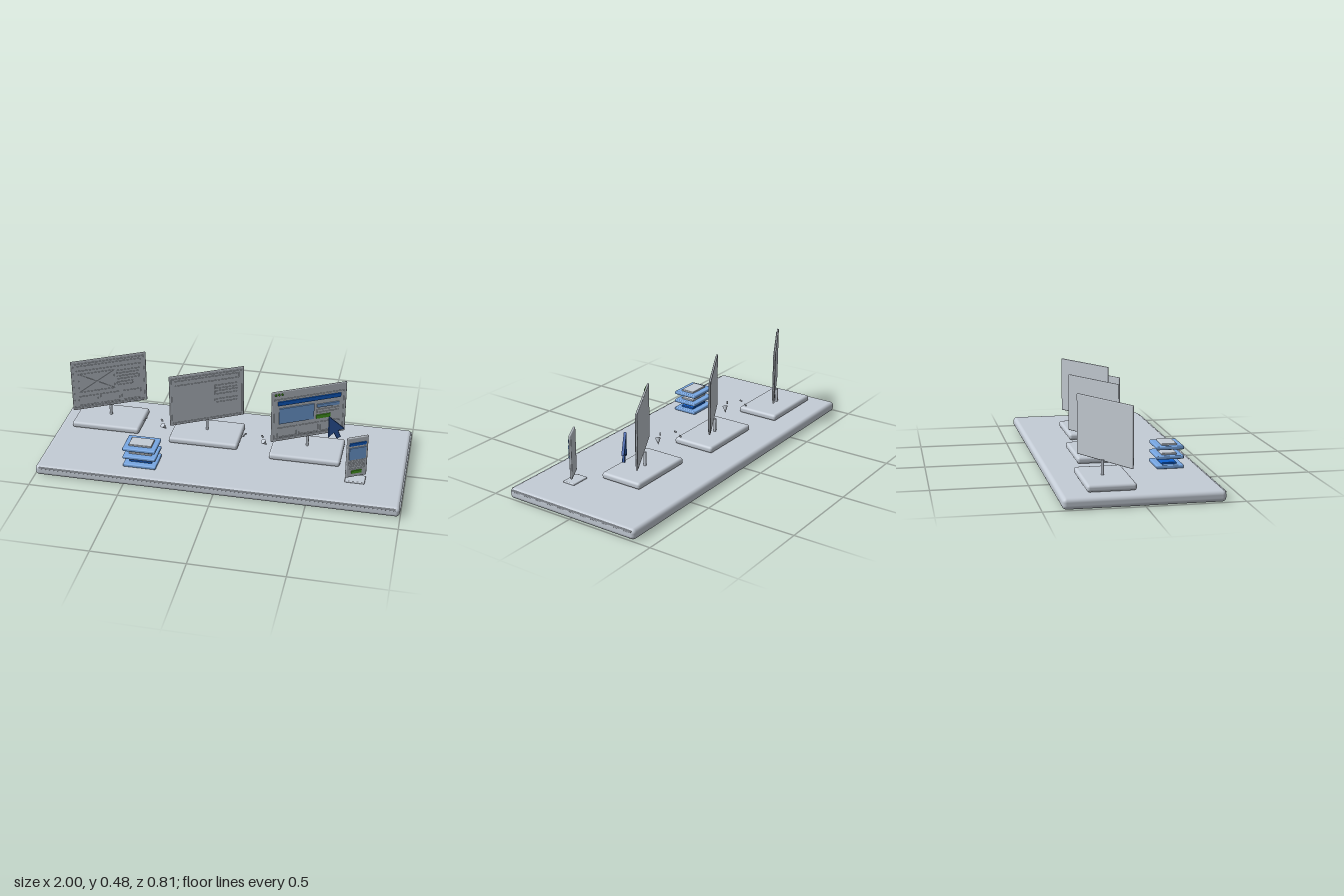
import * as THREE from 'three';
import { RoundedBoxGeometry } from 'three/addons/geometries/RoundedBoxGeometry.js';

const mat = (name, color) => {
  const m = new THREE.MeshStandardMaterial({ color });
  m.name = name;
  return m;
};
const M = {
  grey: mat('paleGrey', 0xc4ccd6),
  panel: mat('panelGrey', 0xc0c7cf),
  blue: mat('strongBlue', 0x0d60d0),
  light: mat('softBlue', 0x78a8e4),
  navy: mat('pointerBlue', 0x2f5ba8),
  green: mat('green', 0x4aa322),
};
const TURN = 0.5; // yaw of every screen

function add(parent, name, geometry, material, x = 0, y = 0, z = 0) {
  const mesh = new THREE.Mesh(geometry, material);
  mesh.name = name;
  mesh.position.set(x, y, z);
  parent.add(mesh);
  return mesh;
}
function group(parent, name, x = 0, y = 0, z = 0) {
  const g = new THREE.Group();
  g.name = name;
  g.position.set(x, y, z);
  parent.add(g);
  return g;
}
const rounded = (w, h, d, r) => new RoundedBoxGeometry(w, h, d, 3, r);

// Solid plate on a screen, from its left/right and bottom/top limits
function plate(parent, name, x0, x1, y0, y1, material) {
  add(parent, name, new THREE.BoxGeometry(x1 - x0, y1 - y0, 0.007), material,
    (x0 + x1) / 2, (y0 + y1) / 2, 0.0085);
}
// Thin rod on a screen between two points
function rod(parent, name, ax, ay, bx, by) {
  const bar = add(parent, name,
    new THREE.BoxGeometry(Math.hypot(bx - ax, by - ay) + 0.003, 0.003, 0.004), M.grey,
    (ax + bx) / 2, (ay + by) / 2, 0.007);
  bar.rotation.z = Math.atan2(by - ay, bx - ax);
}
// Rectangle drawn with four rods
function outline(parent, name, x0, x1, y0, y1) {
  const g = group(parent, name);
  rod(g, 'bottomEdge', x0, y0, x1, y0);
  rod(g, 'topEdge', x0, y1, x1, y1);
  rod(g, 'leftEdge', x0, y0, x0, y1);
  rod(g, 'rightEdge', x1, y0, x1, y1);
}

// Foot, stem and turned screen; returns the screen for its layout
function monitor(root, name, x, z) {
  const g = group(root, name, x, 0, z);
  add(g, 'foot', rounded(0.395, 0.037, 0.247, 0.015), M.grey, 0, 0.0775, 0);
  add(g, 'stem', new THREE.CylinderGeometry(0.008, 0.008, 0.08, 16), M.grey, -0.003, 0.133, -0.011);
  const screen = group(g, 'screen', 0, 0, 0);
  screen.rotation.y = TURN;
  add(screen, 'screenPanel', rounded(0.433, 0.312, 0.011, 0.005), M.panel, 0, 0.32, 0);
  return screen;
}

// Three cards along the bottom of a page
function cards(screen) {
  for (const c of [-0.125, 0, 0.125]) outline(screen, 'card', c - 0.055, c + 0.055, 0.191, 0.248);
}

// Arrow pointer as an extruded outline
function pointer(parent) {
  const pts = [[0, 0], [0, -0.128], [0.03, -0.103], [0.05, -0.145], [0.07, -0.135], [0.052, -0.093], [0.09, -0.088]];
  const shape = new THREE.Shape(pts.map(([a, b]) => new THREE.Vector2(a, b)));
  const geo = new THREE.ExtrudeGeometry(shape,
    { depth: 0.01, bevelEnabled: true, bevelSize: 0.002, bevelThickness: 0.002, bevelSegments: 1 });
  add(parent, 'pointer', geo, M.navy, 0.09, 0.317, 0.073);
}

// Short dashes ending in a cone, between neighbouring screens
function flowArrow(root, x, z) {
  const g = group(root, 'flowArrow', x, 0, z);
  const up = new THREE.Vector3(0, 1, 0);
  const dashes = [[0, 0.127, 0, 0.5, 0.7, 0.4], [0.016, 0.154, 0.022, 0.5, 0.6, 0.5], [0.116, 0.17, 0.052, 0.4, -0.7, -0.2]];
  for (const [a, b, c, dx, dy, dz] of dashes) {
    const dash = add(g, 'dash', new THREE.CylinderGeometry(0.005, 0.005, 0.015, 10), M.grey, a, b, c);
    dash.quaternion.setFromUnitVectors(up, new THREE.Vector3(dx, dy, dz).normalize());
  }
  const head = add(g, 'arrowHead', new THREE.ConeGeometry(0.015, 0.04, 16), M.grey, 0.131, 0.13, 0.056);
  head.quaternion.setFromUnitVectors(up, new THREE.Vector3(0.45, -0.8, -0.4).normalize());
}

export function createModel() {
  const root = new THREE.Group();
  root.name = 'screenDisplay';

  // Platform with trim on the front and left side
  add(root, 'platform', rounded(1.995, 0.058, 0.806, 0.022), M.grey, 0, 0.029, 0);
  add(root, 'frontTrim', rounded(1.95, 0.009, 0.014, 0.003), M.grey, 0, 0.046, 0.398);
  add(root, 'sideTrim', rounded(0.014, 0.009, 0.77, 0.003), M.grey, 0.993, 0.046, 0);

  // Wireframe screen
  const wire = monitor(root, 'wireframeMonitor', -0.721, -0.148);
  outline(wire, 'pageFrame', -0.203, 0.203, 0.18, 0.458);
  outline(wire, 'headerBox', -0.185, 0.185, 0.413, 0.443);
  outline(wire, 'imageBox', -0.175, 0.03, 0.276, 0.392);
  rod(wire, 'imageCross', -0.175, 0.276, 0.03, 0.392);
  rod(wire, 'imageCross', -0.175, 0.392, 0.03, 0.276);
  for (const [y, w] of [[0.375, 0.13], [0.338, 0.13], [0.3, 0.09]])
    outline(wire, 'textLine', 0.045, 0.045 + w, y - 0.009, y + 0.009);
  cards(wire);

  // Plain layout screen
  const layout = monitor(root, 'layoutMonitor', -0.139, -0.096);
  outline(layout, 'pageFrame', -0.203, 0.203, 0.18, 0.458);
  outline(layout, 'headerBox', -0.185, 0.185, 0.415, 0.443);
  for (const y of [0.373, 0.337, 0.285]) outline(layout, 'textLine', 0.045, 0.175, y - 0.01, y + 0.01);

  // Finished page screen
  const page = monitor(root, 'pageMonitor', 0.443, -0.043);
  for (const x of [-0.194, -0.176, -0.158]) {
    const dot = add(page, 'windowDot', new THREE.CylinderGeometry(0.006, 0.006, 0.007, 16), M.green, x, 0.458, 0.0085);
    dot.rotation.x = Math.PI / 2;
  }
  outline(page, 'pageFrame', -0.2, 0.2, 0.182, 0.428);
  plate(page, 'header', -0.181, 0.181, 0.391, 0.415, M.blue);
  plate(page, 'heroImage', -0.173, 0.027, 0.276, 0.371, M.light);
  plate(page, 'textBlock', 0.045, 0.172, 0.344, 0.363, M.light);
  outline(page, 'textLine', 0.045, 0.172, 0.311, 0.328);
  plate(page, 'button', 0.042, 0.124, 0.274, 0.296, M.green);
  cards(page);
  pointer(page);

  // Small upright screen hovering over its foot
  add(root, 'handsetFoot', rounded(0.108, 0.011, 0.073, 0.005), M.grey, 0.737, 0.064, 0.179);
  const handset = group(root, 'handset', 0.738, 0, 0.188);
  handset.rotation.y = TURN;
  add(handset, 'handsetBody', rounded(0.121, 0.248, 0.013, 0.006), M.panel, 0, 0.215, 0);
  plate(handset, 'header', -0.047, 0.047, 0.29, 0.307, M.blue);
  plate(handset, 'heroImage', -0.047, 0.047, 0.204, 0.276, M.light);
  for (const y of [0.188, 0.165, 0.15]) outline(handset, 'textLine', -0.045, 0.045, y - 0.006, y + 0.006);
  plate(handset, 'button', -0.029, 0.029, 0.116, 0.134, M.green);

  // Three spaced layers, each with a smaller plate on top
  const stack = group(root, 'layerStack', -0.43, 0, 0.238);
  [0.068, 0.118, 0.168].forEach((y, i) => {
    add(stack, 'layer', rounded(0.184, 0.019, 0.144, 0.006), M.light, 0, y, 0);
    add(stack, 'layerTop', rounded(0.128, 0.012, 0.08, 0.004), i ? M.grey : M.blue, 0, y + 0.0135, 0);
  });

  // Arrows between the screens
  flowArrow(root, -0.501, -0.082);
  flowArrow(root, 0.084, -0.03);
  return root;
}
